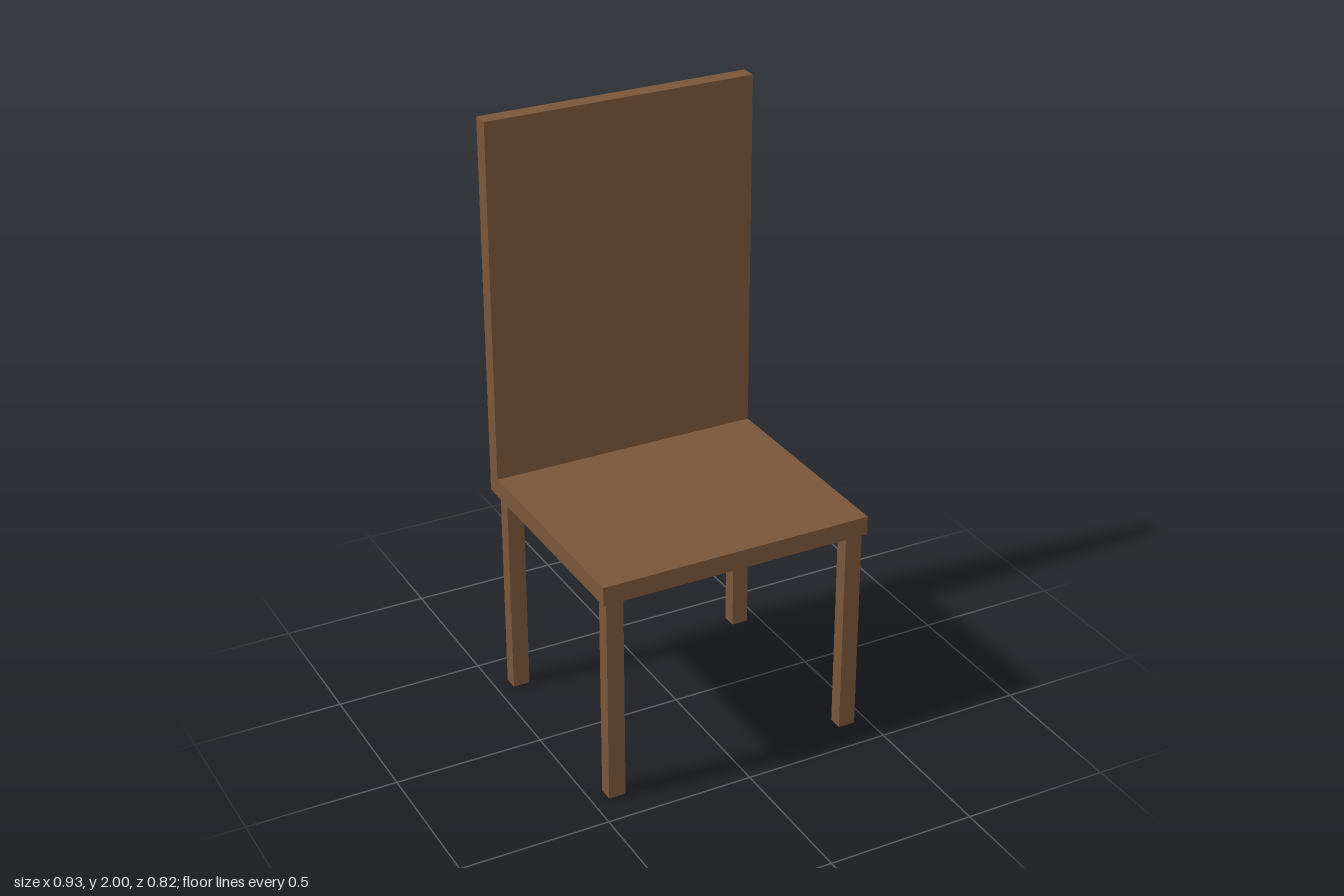
import * as THREE from 'three';

export function createModel() {
  const chair = new THREE.Group();
  chair.name = 'chair';
  const wood = new THREE.MeshStandardMaterial({ color: 0x7a563a });

  // Box given by its lower and upper limits on each axis
  function addBox(name, [x0, x1], [y0, y1], [z0, z1]) {
    const mesh = new THREE.Mesh(new THREE.BoxGeometry(x1 - x0, y1 - y0, z1 - z0), wood);
    mesh.position.set((x0 + x1) / 2, (y0 + y1) / 2, (z0 + z1) / 2);
    mesh.name = name;
    chair.add(mesh);
  }

  const width = [-0.463, 0.463];
  const seatBottom = 0.72, seatTop = 0.783;
  const backFace = -0.355, rear = -0.411, front = 0.411;

  // Seat slab, with the tall backrest rising along its rear edge
  addBox('seat', width, [seatBottom, seatTop], [rear, front]);
  addBox('backrest', width, [seatTop, 2], [rear, backFace]);

  // Four legs, set slightly off centre under the seat
  const sides = { Right: [-0.445, -0.387], Left: [0.397, 0.455] };
  const rows = { front: [0.343, 0.392], back: [-0.376, -0.325] };
  for (const [row, z] of Object.entries(rows)) {
    for (const [side, x] of Object.entries(sides)) {
      addBox(`${row}${side}Leg`, x, [0, seatBottom], z);
    }
  }
  return chair;
}
